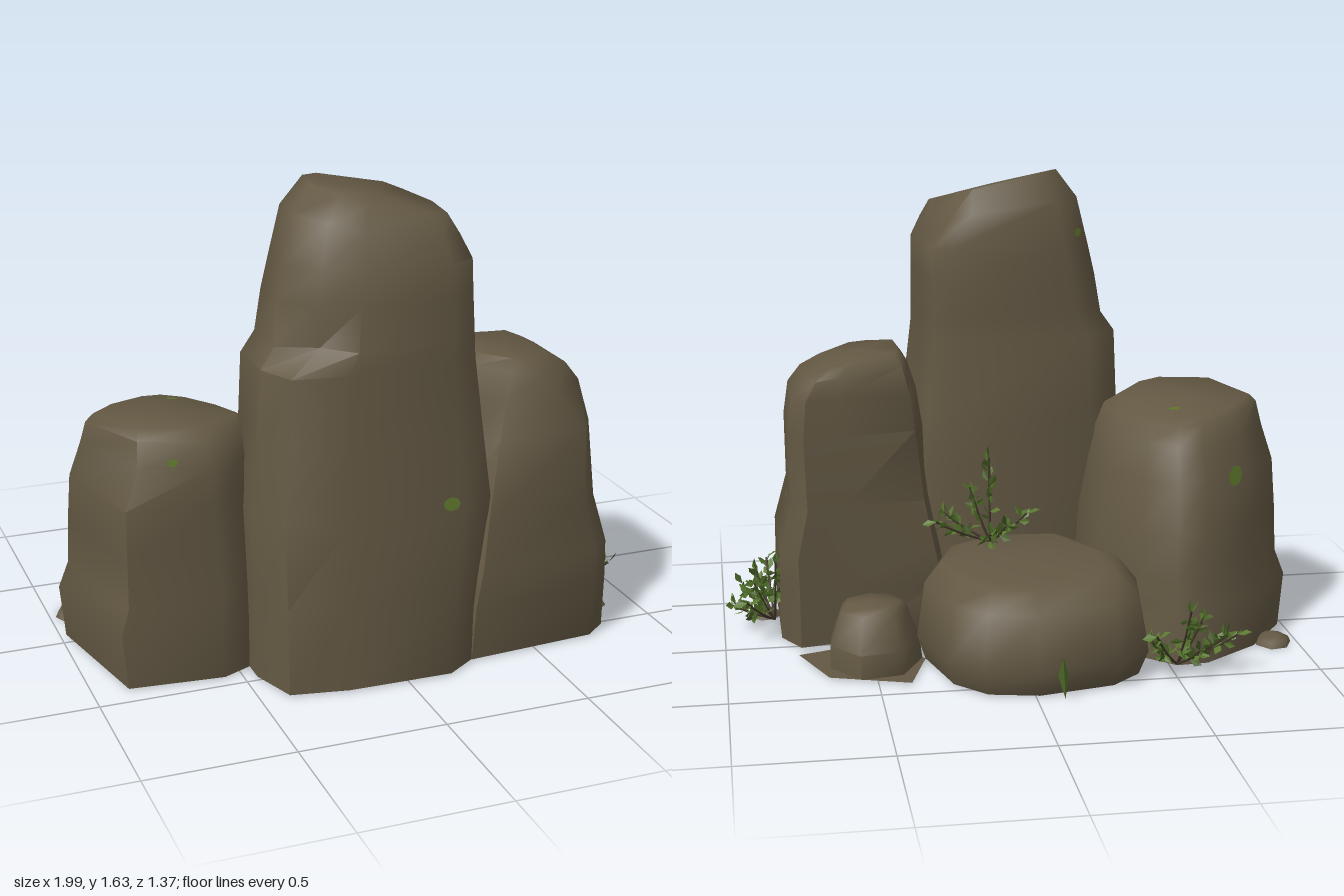
import * as THREE from 'three';
import { mergeGeometries, toCreasedNormals } from 'three/addons/utils/BufferGeometryUtils.js';

const mat = (name, color) => {
  const m = new THREE.MeshStandardMaterial({ color, side: THREE.DoubleSide });
  m.name = name;
  return m;
};

// A rock is a plan outline (unit square, counter-clockwise from above) fitted to
// stacked layers [y, xMin, xMax, zMin, zMax, slopeX, slopeZ]; its bottom is open.
// Chips [firstLayer, lastLayer, corner, dx, dz] shift single corners of the outline.
function rockGeometry(plan, layers, chips = []) {
  const n = plan.length, pos = [], idx = [];
  layers.forEach(([y, x0, x1, z0, z1, sx = 0, sz = 0], k) => {
    plan.forEach(([u, w], i) => {
      let dx = u * (x1 - x0) / 2, dz = w * (z1 - z0) / 2;
      for (const [from, to, corner, cx, cz] of chips) {
        if (k >= from && k <= to && i === corner) { dx += cx; dz += cz; }
      }
      pos.push((x0 + x1) / 2 + dx, y + sx * dx + sz * dz, (z0 + z1) / 2 + dz);
      if (k === 0) return;
      const j = (i + 1) % n, a = (k - 1) * n + i, b = (k - 1) * n + j;
      idx.push(a, b, k * n + j, a, k * n + j, k * n + i);
    });
  });
  const [y, x0, x1, z0, z1] = layers[layers.length - 1];
  const top = (layers.length - 1) * n;
  pos.push((x0 + x1) / 2, y + 0.004, (z0 + z1) / 2);
  for (let i = 0; i < n; i++) idx.push(top + n, top + i, top + (i + 1) % n);
  const g = new THREE.BufferGeometry();
  g.setAttribute('position', new THREE.Float32BufferAttribute(pos, 3));
  g.setIndex(idx);
  return toCreasedNormals(g, 1.05);
}

const hexPlan = [[-0.6, 0.8], [0.1, 1], [0.9, 0.5], [1, -0.3], [0.4, -1], [-0.5, -0.85], [-1, 0]];

const rocks = {
  tallRock: [
    [[-0.84, 0.86], [-0.3, 0.98], [0.7, 1], [1, 0.75], [0.96, 0], [0.88, -0.85], [0.65, -1], [-0.7, -0.88], [-1, -0.55], [-1, 0.3]],
    [[0.01, -0.46, 0.26, 0.1, 0.69], [0.3, -0.46, 0.29, 0.1, 0.67], [0.58, -0.465, 0.33, 0.1, 0.65],
      [0.8, -0.43, 0.31, 0.105, 0.62], [1.06, -0.42, 0.28, 0.12, 0.605], [1.13, -0.37, 0.28, 0.12, 0.595],
      [1.27, -0.345, 0.28, 0.12, 0.575], [1.38, -0.32, 0.28, 0.13, 0.56], [1.5, -0.28, 0.25, 0.145, 0.52, -0.14, -0.06],
      [1.58, -0.21, 0.22, 0.19, 0.47, -0.22, -0.14]],
    // Notch in the front left edge, and worn corners near the top
    [[5, 5, 0, 0.08, -0.07], [6, 9, 0, 0.04, -0.04], [6, 9, 9, 0, -0.04], [8, 9, 5, -0.05, 0.03], [8, 9, 6, -0.05, 0]]],
  rightRock: [
    [[-0.72, 1], [0.75, 0.9], [1, 0.7], [1, -0.65], [0.8, -1], [0.3, -0.9], [-0.85, -0.7], [-1, -0.3], [-0.97, 0.5]],
    [[0.01, 0.17, 0.8, -0.03, 0.62], [0.2, 0.18, 0.8, -0.03, 0.63], [0.33, 0.21, 0.8, -0.03, 0.625],
      [0.5, 0.25, 0.755, -0.02, 0.6], [0.75, 0.28, 0.76, 0, 0.565], [0.88, 0.3, 0.745, 0.02, 0.54],
      [0.96, 0.33, 0.7, 0.04, 0.52, -0.1], [1, 0.36, 0.63, 0.09, 0.49, -0.13]],
    // Worn front corners
    [[4, 4, 0, 0.03, -0.02], [5, 7, 0, 0.06, -0.04], [4, 4, 2, 0, -0.04], [5, 7, 2, 0, -0.08], [5, 7, 1, -0.08, -0.01]]],
  leftRock: [
    [[-0.73, 0.93], [0.15, 1], [0.5, 0.86], [1, 0.3], [0.85, -0.2], [0.55, -0.76], [0.25, -1], [-0.05, -0.98], [-0.6, -0.65], [-1, -0.18]],
    [[0.01, -0.98, -0.25, -0.4, 0.45], [0.2, -1, -0.25, -0.38, 0.45], [0.29, -0.965, -0.26, -0.37, 0.44],
      [0.45, -0.96, -0.27, -0.35, 0.43], [0.62, -0.955, -0.3, -0.29, 0.42], [0.74, -0.92, -0.33, -0.24, 0.41],
      [0.81, -0.905, -0.37, -0.18, 0.39, -0.05, 0.05], [0.838, -0.88, -0.42, -0.14, 0.34, -0.05, 0.08]],
    [[5, 7, 0, 0.03, -0.04]]],
  backBoulder: [
    [[-0.5, 0.95], [0.3, 1], [0.8, 0.7], [1, 0.1], [0.82, -0.6], [0.55, -0.9], [0.1, -1], [-0.6, -0.85], [-0.88, -0.6], [-1, 0.1]],
    [[0.01, -0.42, 0.32, -0.6, 0.13], [0.1, -0.45, 0.35, -0.64, 0.14], [0.28, -0.42, 0.32, -0.58, 0.14],
      [0.34, -0.35, 0.26, -0.5, 0.12], [0.35, -0.3, 0.22, -0.45, 0.1]]],
  smallRock: [hexPlan,
    [[0.01, 0.33, 0.65, -0.37, -0.01], [0.09, 0.34, 0.65, -0.36, -0.02], [0.2, 0.38, 0.61, -0.29, -0.07],
      [0.22, 0.4, 0.59, -0.26, -0.09]]],
  rightPebble: [hexPlan,
    [[0.005, 0.79, 0.9, 0.29, 0.41], [0.02, 0.8, 0.89, 0.3, 0.4], [0.028, 0.82, 0.87, 0.32, 0.38]]],
  leftPebble: [hexPlan,
    [[0.005, -0.98, -0.85, -0.29, -0.14], [0.025, -0.97, -0.86, -0.28, -0.15], [0.035, -0.94, -0.89, -0.25, -0.18]]],
};

// Leaf: a pointed blade folded up along its middle
function leafGeometry(at, dir, length, width, roll) {
  const g = new THREE.BufferGeometry();
  g.setAttribute('position', new THREE.Float32BufferAttribute(
    [0, 0, 0, width, 0.55, 0.06, 0, 1, 0, 0, 0, 0, 0, 1, 0, -width, 0.55, 0.06], 3));
  g.rotateY(roll);
  g.scale(length, length, length);
  g.applyQuaternion(new THREE.Quaternion().setFromUnitVectors(new THREE.Vector3(0, 1, 0), dir));
  g.translate(at.x, at.y, at.z);
  g.computeVertexNormals();
  return g;
}

// Plant: curved stems from one root to the given tips, with leaves along them
function plant(name, root, tips, mats) {
  let seed = 7;
  const rnd = () => (seed = (seed * 16807) % 2147483647) / 2147483647;
  const base = new THREE.Vector3(...root), stems = [], leaves = [[], []];
  for (const t of tips) {
    const end = new THREE.Vector3(...t).add(base);
    const mid = new THREE.Vector3(t[0] * 0.55, t[1] * 0.4, t[2] * 0.55).add(base);
    const curve = new THREE.QuadraticBezierCurve3(base, mid, end);
    stems.push(new THREE.TubeGeometry(curve, 5, 0.004, 4));
    for (let i = 0; i < 15; i++) {
      const s = 0.3 + 0.7 * i / 14;
      const out = new THREE.Vector3(rnd() - 0.5, rnd() - 0.35, rnd() - 0.5).multiplyScalar(2);
      const dir = curve.getTangent(s).multiplyScalar(0.6).add(out).normalize();
      const kind = rnd() < 0.75 ? 0 : 1;
      leaves[kind].push(leafGeometry(curve.getPoint(s), dir, 0.038 + 0.016 * rnd(), 0.3, rnd() * 6));
    }
  }
  const group = new THREE.Group();
  group.name = name;
  [[stems, mats.stem, 'stems'], [leaves[0], mats.leaf, 'leaves'], [leaves[1], mats.darkLeaf, 'darkLeaves']]
    .forEach(([parts, m, part]) => {
      const mesh = new THREE.Mesh(mergeGeometries(parts), m);
      mesh.name = part;
      group.add(mesh);
    });
  return group;
}

export function createModel() {
  const model = new THREE.Group();
  model.name = 'rockCluster';
  const mats = {
    rock: mat('rock', 0x635843), stem: mat('stem', 0x43372b),
    leaf: mat('leaf', 0x58782d), darkLeaf: mat('darkLeaf', 0x475f27), moss: mat('moss', 0x5d752b),
  };
  const add = (name, geometry, material) => {
    const mesh = new THREE.Mesh(geometry, material);
    mesh.name = name;
    model.add(mesh);
    return mesh;
  };

  const stones = Object.entries(rocks).map(([name, args]) => add(name, rockGeometry(...args), mats.rock));

  // Flat slab around the foot of the small rock
  const slab = new THREE.Shape([[0.39, 0.42], [0.32, 0.2], [0.45, 0.005], [0.75, 0.1], [0.66, 0.33]]
    .map(([x, y]) => new THREE.Vector2(x, y)));
  slab.holes.push(new THREE.Path(hexPlan.map(([u, w]) => new THREE.Vector2(0.49 + 0.14 * u, 0.19 - 0.16 * w))));
  add('groundSlab', new THREE.ShapeGeometry(slab).rotateX(-Math.PI / 2).translate(0, 0.01, 0), mats.rock);

  // Moss spots laid on the rock surface, found from a point and a direction
  const spots = [[[-0.7, 0.76, 2], [0, 0, -1], 0.017], [[0.16, 0.6, 2], [0, 0, -1], 0.028],
    [[2, 0.48, 0.29], [-1, 0, 0], 0.013], [[-0.58, 2, -0.05], [0, -1, 0], 0.018],
    [[-0.76, 0.62, -2], [0, 0, 1], 0.036], [[-2, 1.42, 0.2], [1, 0, 0], 0.017]];
  for (const [from, dir, r] of spots) {
    const ray = new THREE.Raycaster(new THREE.Vector3(...from), new THREE.Vector3(...dir));
    const hit = ray.intersectObjects(stones)[0];
    if (!hit) continue;
    const spot = add('mossSpot', new THREE.CircleGeometry(r, 7).scale(1.1, 0.85, 1), mats.moss);
    spot.position.copy(hit.point).addScaledVector(hit.face.normal, 0.006);
    spot.quaternion.setFromUnitVectors(new THREE.Vector3(0, 0, 1), hit.face.normal);
  }

  model.add(
    plant('rightPlant', [0.82, 0.04, 0.2], [[0.02, 0.18, 0.17], [0.06, 0.16, 0.09], [-0.005, 0.24, -0.08],
      [0.1, 0.12, -0.16], [0.15, 0.06, 0], [0.11, 0.1, 0.12], [0.07, 0.15, -0.03]], mats),
    plant('backPlant', [-0.52, 0.02, -0.41], [[-0.19, 0.12, -0.07], [-0.13, 0.15, -0.15], [-0.02, 0.22, -0.1],
      [0.11, 0.16, -0.16], [0.1, 0.1, -0.04], [-0.04, 0.1, -0.15], [-0.08, 0.19, -0.05]], mats),
    plant('boulderPlant', [0.06, 0.35, 0.03], [[-0.13, 0.1, -0.01], [0, 0.3, 0.02], [0.03, 0.09, -0.21],
      [0.2, 0.1, -0.07], [0.16, 0.1, 0.04], [-0.04, 0.09, -0.12], [0.07, 0.2, 0.01]], mats));

  // Single blade of grass behind the boulder
  add('grassBlade', leafGeometry(new THREE.Vector3(-0.09, 0.01, -0.64),
    new THREE.Vector3(0.1, 1, -0.25).normalize(), 0.165, 0.11, 0.2), mats.leaf);
  return model;
}
